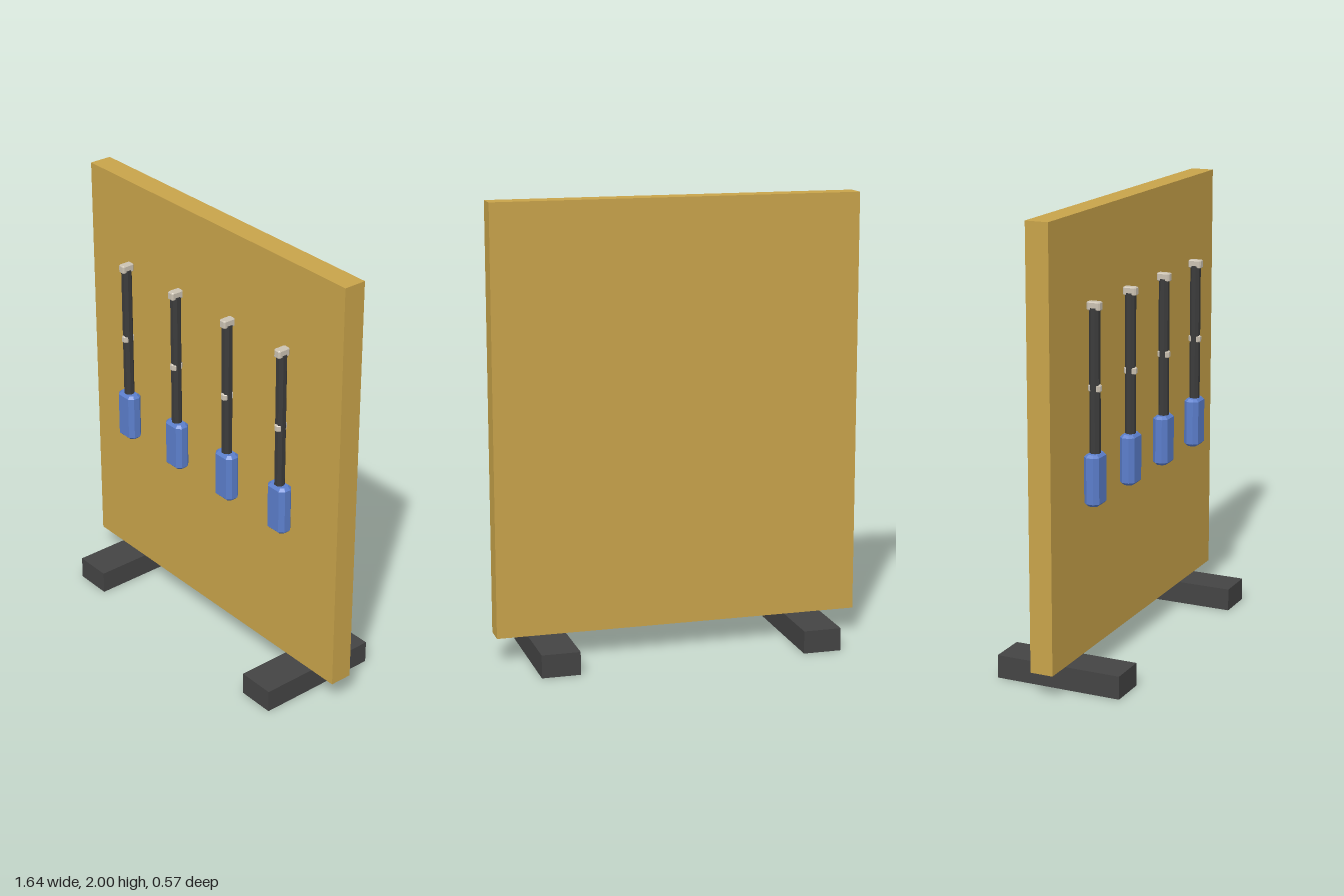
import * as THREE from 'three';

const mat = (name, color) => {
  const m = new THREE.MeshStandardMaterial({ color });
  m.name = name;
  return m;
};

// Box with chamfered edges, centred on the origin
function chamferBox(w, h, d, c) {
  const x = w / 2 - c, z = d / 2 - c;
  const shape = new THREE.Shape([
    [x, c - z], [x, z - c], [x - c, z], [c - x, z],
    [-x, z - c], [-x, c - z], [c - x, -z], [x - c, -z],
  ].map(([a, b]) => new THREE.Vector2(a, b)));
  const g = new THREE.ExtrudeGeometry(shape, {
    depth: h - 2 * c, bevelEnabled: true, bevelThickness: c, bevelSize: c, bevelSegments: 1,
  });
  g.translate(0, 0, c - h / 2);
  g.rotateX(-Math.PI / 2);
  g.computeVertexNormals();
  return g;
}

export function createModel() {
  const wood = mat('wood', 0xc8a34a);
  const dark = mat('darkFeet', 0x444444);
  const black = mat('blackShaft', 0x3b3b3b);
  const blue = mat('blueHandle', 0x5b7ecb);
  const beige = mat('paleFitting', 0xcbc2b2);

  const model = new THREE.Group();
  model.name = 'displayBoard';

  const add = (parent, name, geometry, material, x, y, z) => {
    const mesh = new THREE.Mesh(geometry, material);
    mesh.name = name;
    mesh.position.set(x, y, z);
    parent.add(mesh);
  };

  // Upright board
  add(model, 'board', new THREE.BoxGeometry(1.64, 1.885, 0.102), wood, 0, 1.0575, 0);

  // Floor feet
  const footGeo = new THREE.BoxGeometry(0.17, 0.102, 0.57);
  add(model, 'leftFoot', footGeo, dark, 0.59, 0.051, 0);
  add(model, 'rightFoot', footGeo, dark, -0.59, 0.051, 0);

  // Row of four hanging tools
  const handleGeo = chamferBox(0.107, 0.222, 0.069, 0.012);
  const tipGeo = chamferBox(0.036, 0.036, 0.06, 0.004);
  const ringGeo = chamferBox(0.036, 0.036, 0.056, 0.007);
  const shaftGeo = new THREE.CylinderGeometry(0.0235, 0.0235, 0.62, 8).toNonIndexed();
  shaftGeo.rotateY(Math.PI / 8);
  shaftGeo.computeVertexNormals();

  for (let i = 0; i < 4; i++) {
    const tool = new THREE.Group();
    tool.name = 'tool' + (i + 1);
    tool.position.set((i - 1.5) * 0.343, 0, 0.101);
    add(tool, 'handle', handleGeo, blue, 0, 0.889, 0);
    add(tool, 'shaft', shaftGeo, black, 0, 1.3, 0);
    add(tool, 'collar', ringGeo, beige, 0, 1.275, 0);
    add(tool, 'tip', tipGeo, beige, 0, 1.618, 0);
    model.add(tool);
  }
  return model;
}
